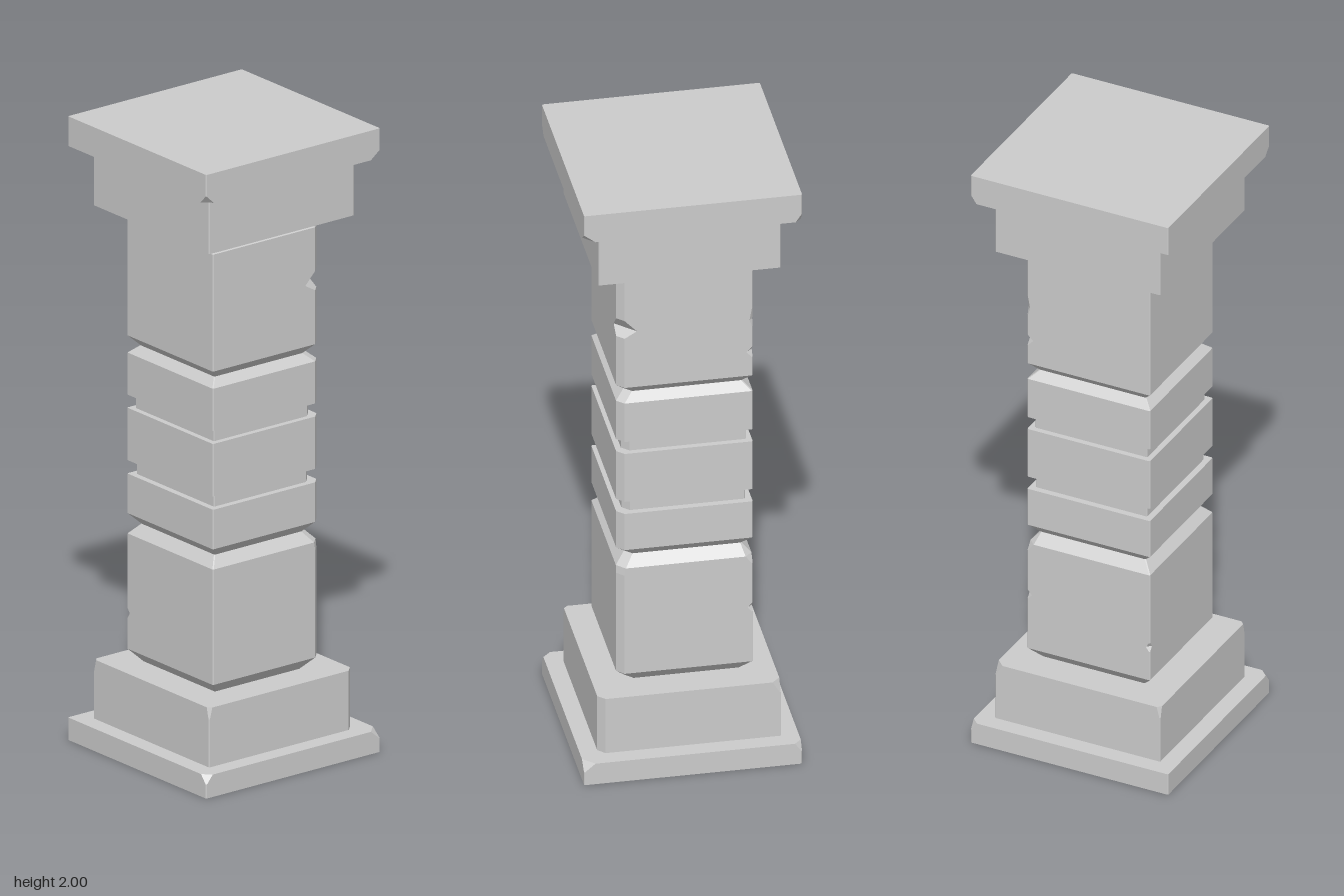
import * as THREE from 'three';

const material = new THREE.MeshStandardMaterial({ color: 0xcccccc, flatShading: true });
const S = 0.003;                      // sharp corner
const WORN = [0.022, S, S, S];        // front +x corner is planed off
const SHARP = [S, S, S, S];

// Square ring at height y. Corner cuts run: +x+z, +x-z, -x-z, -x+z.
function ringPoints([y, h, cuts]) {
  const pts = [];
  cuts.forEach((c, k) => {
    for (let [x, z] of [[h - c, h], [h, h - c]]) {
      for (let i = 0; i < k; i++) [x, z] = [z, -x];
      pts.push([x, y, z]);
    }
  });
  return pts;
}

// Solid stone lofted through rings from bottom to top.
function stone(name, rings) {
  const loops = rings.map(ringPoints);
  const pos = [];
  const tri = (a, b, c) => pos.push(...a, ...b, ...c);
  for (let r = 0; r + 1 < loops.length; r++) {
    const lo = loops[r], hi = loops[r + 1];
    for (let i = 0; i < 8; i++) {
      const j = (i + 1) % 8;
      tri(lo[i], lo[j], hi[j]);
      tri(lo[i], hi[j], hi[i]);
    }
  }
  const bottom = loops[0], top = loops[loops.length - 1];
  for (let i = 1; i < 7; i++) {
    tri(top[0], top[i], top[i + 1]);
    tri(bottom[0], bottom[i + 1], bottom[i]);
  }
  const g = new THREE.BufferGeometry();
  g.setAttribute('position', new THREE.Float32BufferAttribute(pos, 3));
  g.computeVertexNormals();
  const mesh = new THREE.Mesh(g, material);
  mesh.name = name;
  return mesh;
}

export function createModel() {
  const group = new THREE.Group();
  group.name = 'stonePillar';
  const add = (name, rings) => group.add(stone(name, rings));
  const W = 0.208;

  // Base: slab with three chipped corners, then a block
  add('baseSlab', [
    [0, 0.335, SHARP], [0.045, 0.335, SHARP],
    [0.072, 0.335, [0.035, 0.022, S, 0.025]],
  ]);
  add('baseBlock', [
    [0.07, 0.28, WORN], [0.225, 0.28, WORN],
    [0.262, 0.28, [0.022, 0.025, 0.012, 0.012]],
  ]);

  // Lower shaft with small edge chips
  add('lowerShaft', [
    [0.26, 0.172, WORN], [0.3, W, WORN],
    [0.4, W, WORN], [0.415, W, [0.022, S, 0.014, S]], [0.43, W, WORN],
    [0.475, W, WORN], [0.49, W, [0.022, 0.016, S, S]], [0.505, W, WORN],
    [0.645, W, WORN], [0.67, W, [0.026, 0.022, S, S]], [0.703, 0.178, WORN],
  ]);

  // Three bands separated by shallow grooves
  add('lowerBand', [[0.703, 0.178, WORN], [0.735, W, WORN], [0.862, W, WORN]]);
  add('lowerGroove', [[0.86, 0.188, WORN], [0.907, 0.188, WORN]]);
  add('middleBand', [[0.905, W, WORN], [1.073, W, WORN]]);
  add('upperGroove', [[1.07, 0.19, WORN], [1.117, 0.19, WORN]]);
  add('upperBand', [[1.115, W, WORN], [1.25, W, WORN], [1.275, 0.18, WORN]]);

  // Upper shaft with a deep notch in the worn corner
  add('upperShaft', [
    [1.275, 0.18, WORN], [1.305, W, WORN],
    [1.37, W, WORN], [1.388, W, [0.022, 0.02, S, S]], [1.405, W, WORN],
    [1.478, W, WORN], [1.5, W, [0.06, 0.01, S, S]], [1.54, W, WORN],
    [1.68, W, WORN], [1.72, 0.17, WORN],
  ]);

  // Capital: block, then a slab chipped along its underside corners
  add('capitalBlock', [[1.718, 0.28, SHARP], [1.907, 0.28, SHARP]]);
  add('capitalSlab', [
    [1.905, 0.335, [0.035, 0.02, S, 0.028]], [1.93, 0.335, SHARP],
    [2, 0.335, SHARP],
  ]);

  return group;
}
